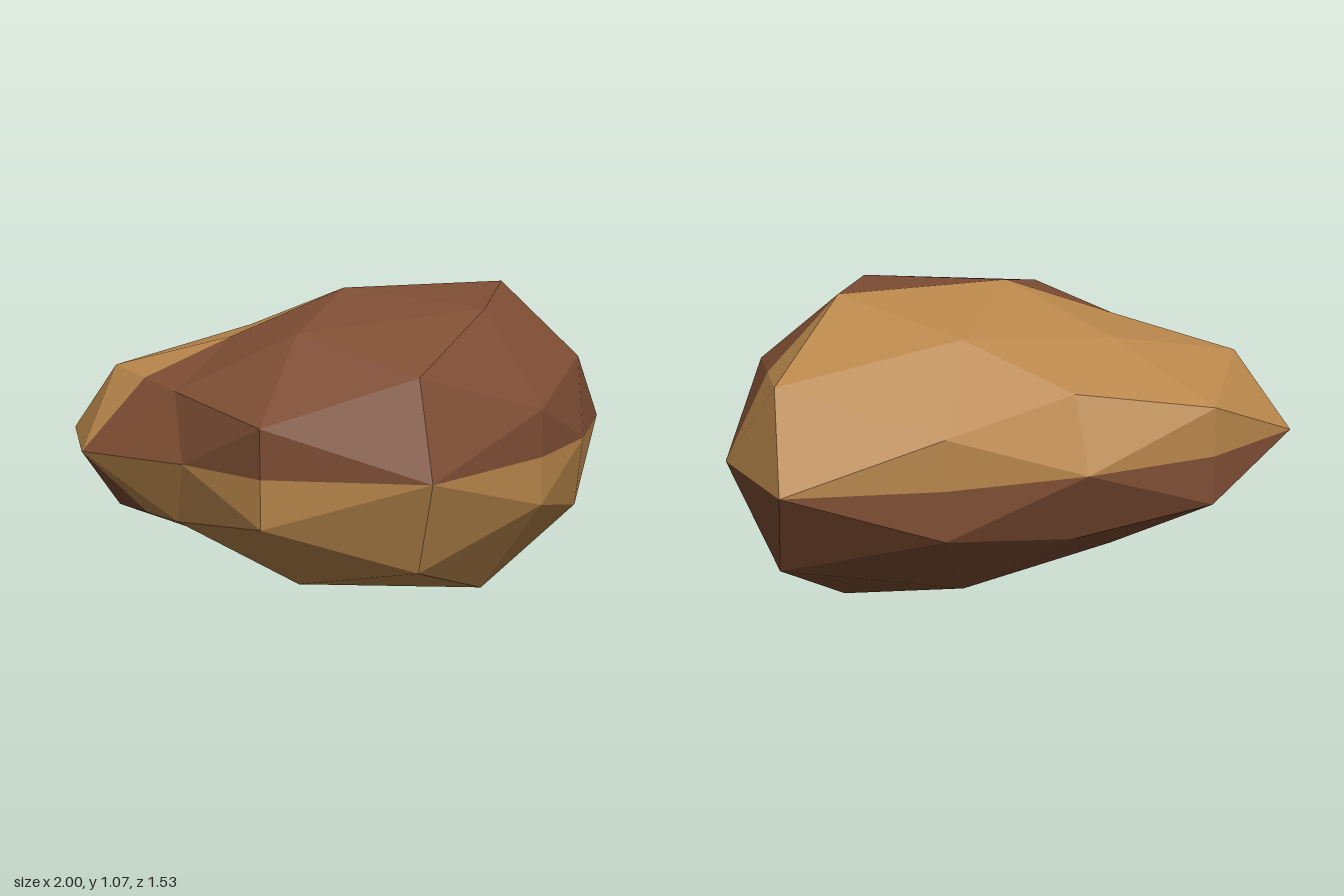
import * as THREE from 'three';

const MID = 0.54; // height of the mirror plane
const V = (x, y, z) => new THREE.Vector3(x, y, z);

// Tips on the main axes
const right = V(1, MID, -0.12), left = V(-1, MID, -0.12);
const front = V(-0.03, MID, 0.765), back = V(-0.03, MID, -0.77);
const top = V(-0.03, 1.075, -0.12);

// Corners on the three main planes, of a once-divided icosahedron
const ridge = { r: V(0.59, 1.075, -0.12), l: V(-0.45, 0.92, -0.12) };
const crown = { f: V(-0.03, 0.87, 0.64), b: V(-0.03, 0.79, -0.66) };

// Upper quarters: waist corner, then the three edge midpoints
const quarters = {
  rf: { waist: V(0.76, MID, 0.25), side: V(0.79, 0.82, 0.13), low: V(0.48, 0.71, 0.5), high: V(0.33, 1.04, 0.33) },
  lf: { waist: V(-0.72, MID, 0.2), side: V(-0.71, 0.77, 0.08), low: V(-0.535, 0.71, 0.51), high: V(-0.33, 0.98, 0.27) },
  rb: { waist: V(0.965, MID, -0.59), side: V(0.91, 0.85, -0.4), low: V(0.46, 0.71, -0.73), high: V(0.3, 0.97, -0.5) },
  lb: { waist: V(-0.94, MID, -0.56), side: V(-0.82, 0.8, -0.36), low: V(-0.52, 0.71, -0.74), high: V(-0.29, 0.91, -0.44) },
};

const half = (p, q) => p.clone().add(q).multiplyScalar(0.5);

// The 13 facets of one upper quarter
function quarterFaces(s, d) {
  const { waist: b, side: ab, low: bc, high: ca } = quarters[s + d];
  const a = ridge[s], c = crown[d];
  const x = s === 'r' ? right : left, z = d === 'f' ? front : back;
  const p = half(quarters[s + 'f'].side, quarters[s + 'b'].side);
  const q = V(bc.x, MID, bc.z);
  const r = half(quarters['r' + d].high, quarters['l' + d].high);
  return [
    [ab, bc, ca], [a, ab, ca], [b, bc, ab], [c, ca, bc],
    [a, p, ab], [p, x, ab], [x, b, ab],
    [b, q, bc], [q, z, bc], [z, c, bc],
    [c, r, ca], [r, top, ca], [top, a, ca],
  ];
}

// One wedge running from side to side; lower wedges mirror the upper ones
function wedgeGeometry(d, lower) {
  const centre = V(0, MID, -0.12);
  const points = [];
  for (const s of ['r', 'l']) {
    for (const face of quarterFaces(s, d)) {
      const t = face.map((v) => V(v.x, lower ? 2 * MID - v.y : v.y, v.z));
      const normal = t[1].clone().sub(t[0]).cross(t[2].clone().sub(t[0]));
      // keep every facet facing outwards
      if (normal.dot(half(t[0], half(t[1], t[2])).sub(centre)) < 0) t.reverse();
      points.push(...t);
    }
  }
  const g = new THREE.BufferGeometry().setFromPoints(points);
  g.computeVertexNormals();
  return g;
}

export function createModel() {
  const tan = new THREE.MeshStandardMaterial({ color: 0xb8864b, flatShading: true });
  tan.name = 'tan';
  const brown = new THREE.MeshStandardMaterial({ color: 0x7f4e34, flatShading: true });
  brown.name = 'redBrown';

  const group = new THREE.Group();
  group.name = 'facetedStone';
  const wedges = [
    ['upperFrontWedge', 'f', false, brown],
    ['upperBackWedge', 'b', false, tan],
    ['lowerFrontWedge', 'f', true, tan],
    ['lowerBackWedge', 'b', true, brown],
  ];
  for (const [name, d, lower, material] of wedges) {
    const mesh = new THREE.Mesh(wedgeGeometry(d, lower), material);
    mesh.name = name;
    group.add(mesh);
  }
  return group;
}
